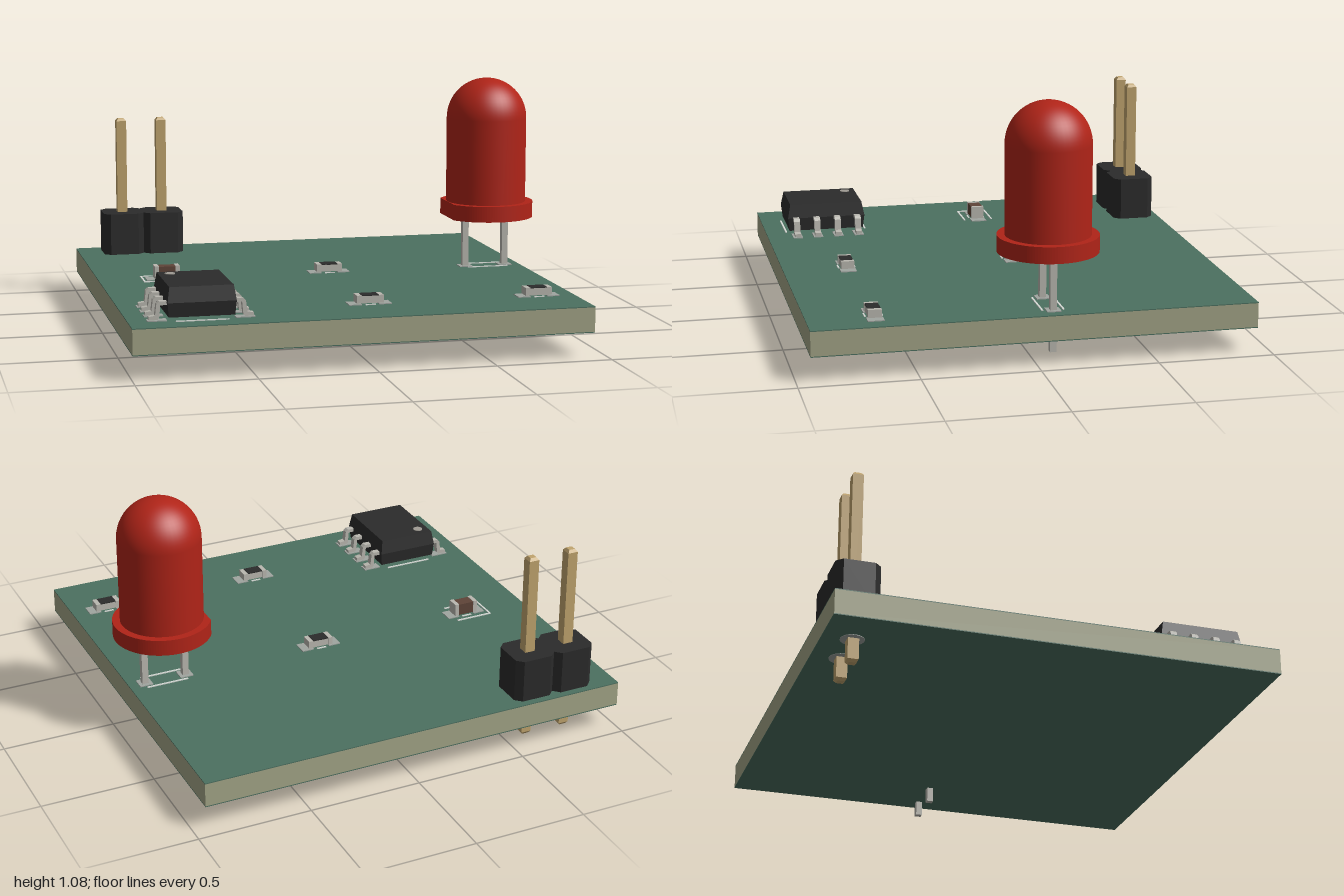
import * as THREE from 'three';

const TOP = 0.217, BOTTOM = 0.105;
const paint = (color) => new THREE.MeshStandardMaterial({ color });
const GREEN = paint(0x4c7060), FIBRE = paint(0xa3a587), BLACK = paint(0x2b2b2b), RED = paint(0xb02418);
const GOLD = paint(0xc0a46e), METAL = paint(0xbab8b0), PAD = paint(0xa0a5a0), SILK = paint(0xd5dad5);
const BROWN = paint(0x5f4438), DOT = paint(0xa09c94);
for (const m of [BLACK, GOLD]) m.flatShading = true;

function add(parent, name, geometry, material, x = 0, y = 0, z = 0) {
  const mesh = new THREE.Mesh(geometry, material);
  mesh.name = name;
  mesh.position.set(x, y, z);
  parent.add(mesh);
  return mesh;
}

function part(parent, name, x, z) {
  const g = new THREE.Group();
  g.name = name;
  g.position.set(x, 0, z);
  parent.add(g);
  return g;
}

// Box given by its bottom height and size
const box = (p, name, mat, x, y, z, w, h, d) =>
  add(p, name, new THREE.BoxGeometry(w, h, d), mat, x, y + h / 2, z);

// Thin printed line or copper pad lying on the board
const flat = (p, name, mat, x, z, w, d) => box(p, name, mat, x, TOP, z, w, 0.004, d);

// Four-sided block whose top and bottom are scaled by st and sb
function taper(w, h, d, st, sb) {
  const r = Math.SQRT1_2;
  return new THREE.CylinderGeometry(r * st, r * sb, h, 4).rotateY(Math.PI / 4).scale(w, 1, d);
}

function board(root) {
  const g = part(root, 'circuitBoard', -0.0275, -0.0025);
  const w = 1.945, d = 1.885, skin = 0.004;
  box(g, 'boardCore', FIBRE, 0, BOTTOM + skin, 0, w, TOP - BOTTOM - 2 * skin, d);
  box(g, 'topMask', GREEN, 0, TOP - skin, 0, w, skin, d);
  box(g, 'bottomMask', GREEN, 0, BOTTOM, 0, w, skin, d);
}

// Upright lamp: domed body, flange with one flat, two leads
function lamp(root) {
  const g = part(root, 'lamp', 0.782, -0.077);
  const r = 0.181, flangeR = 0.214, base = 0.449, step = 0.52, domeY = 0.902;
  add(g, 'lampBody', new THREE.CylinderGeometry(r, r, domeY - step, 48, 1, true), RED, 0, (domeY + step) / 2);
  add(g, 'lampDome', new THREE.SphereGeometry(r, 48, 16, 0, Math.PI * 2, 0, Math.PI / 2), RED, 0, domeY);
  const cut = Math.acos(-0.183 / flangeR);
  const outline = new THREE.Shape().absarc(0, 0, flangeR, -cut, cut, false);
  outline.closePath();
  const flange = new THREE.ExtrudeGeometry(outline, { depth: step - base, bevelEnabled: false, curveSegments: 48 });
  add(g, 'lampFlange', flange.rotateX(-Math.PI / 2), RED, 0, base);
  for (const x of [-0.097, 0.091]) {
    box(g, 'lampLead', METAL, x, 0.04, 0, 0.028, base - 0.04, 0.028);
    flat(g, 'lampPad', PAD, x, 0, 0.06, 0.06);
  }
  for (const z of [-0.045, 0.045]) flat(g, 'lampOutline', SILK, 0, z, 0.19, 0.008);
}

// Two-way pin header with chamfered housings and pins
function header(root) {
  const g = part(root, 'pinHeader', -0.7, -0.821);
  const a = 0.094, c = 0.028, tip = 0.012, pinTop = 0.856;
  const pts = [[-a, -a + c], [-a + c, -a], [a - c, -a], [a, -a + c], [a, a - c], [a - c, a], [-a + c, a], [-a, a - c]];
  const cell = new THREE.Shape(pts.map(([x, y]) => new THREE.Vector2(x, y)));
  for (const x of [-0.094, 0.094]) {
    const housing = new THREE.ExtrudeGeometry(cell, { depth: 0.41 - TOP, bevelEnabled: false }).rotateX(-Math.PI / 2);
    add(g, 'headerHousing', housing, BLACK, x, TOP);
    box(g, 'headerPin', GOLD, x, tip, 0, 0.046, pinTop - 2 * tip, 0.046);
    add(g, 'pinTipTop', taper(0.046, tip, 0.046, 0.6, 1), GOLD, x, pinTop - tip / 2);
    add(g, 'pinTipBottom', taper(0.046, tip, 0.046, 1, 0.6), GOLD, x, tip / 2);
    add(g, 'solderRing', new THREE.CylinderGeometry(0.05, 0.05, 0.003, 24), PAD, x, BOTTOM - 0.001);
  }
}

// Eight-lead chip with gull-wing legs
function chip(root) {
  const g = part(root, 'chip', -0.7, 0.662);
  add(g, 'chipLowerBody', taper(0.284, 0.06, 0.36, 1, 0.96), BLACK, 0, 0.263);
  add(g, 'chipUpperBody', taper(0.284, 0.064, 0.36, 0.93, 1), BLACK, 0, 0.325);
  add(g, 'pinOneMark', new THREE.CylinderGeometry(0.022, 0.022, 0.004, 24), DOT, -0.083, 0.358, -0.12);

  const profile = [[0.13, 0.298], [0.172, 0.298], [0.184, 0.287], [0.19, 0.24], [0.216, 0.236],
    [0.216, 0.222], [0.18, 0.222], [0.173, 0.23], [0.168, 0.282], [0.13, 0.282]];
  const leg = new THREE.ExtrudeGeometry(
    new THREE.Shape(profile.map(([x, y]) => new THREE.Vector2(x, y))), { depth: 0.028, bevelEnabled: false });
  leg.translate(0, 0, -0.014);
  for (const z of [-0.143, -0.048, 0.048, 0.143]) {
    for (const side of [-1, 1]) {
      add(g, 'chipLeg', leg, METAL, 0, 0, z).rotation.y = side < 0 ? Math.PI : 0;
      flat(g, 'chipPad', PAD, side * 0.182, z, 0.08, 0.044);
    }
  }
  for (const z of [-0.186, 0.186]) flat(g, 'chipOutline', SILK, 0, z, 0.22, 0.008);
}

// Small surface part: two pads, two metal ends and a middle body
function surfacePart(root, name, x, z, len, h, mid, material) {
  const g = part(root, name, x, z);
  const d = 0.058, y = TOP + 0.006, end = (len - mid) / 2;
  box(g, name + 'Body', material === BROWN ? BROWN : METAL, 0, y, 0, mid, h - 0.003, d - 0.004);
  if (material !== BROWN) box(g, name + 'Film', material, 0, y + h - 0.004, 0, mid, 0.005, d - 0.004);
  for (const side of [-1, 1]) {
    box(g, name + 'End', METAL, side * (mid + end) / 2, y, 0, end, h, d);
    flat(g, name + 'Pad', PAD, side * 0.065, 0, 0.054, 0.07);
    flat(g, name + 'Outline', SILK, 0, side * 0.036, 0.045, 0.007);
  }
  return g;
}

export function createModel() {
  const root = new THREE.Group();
  root.name = 'circuitBoardAssembly';
  board(root);
  lamp(root);
  header(root);
  chip(root);
  for (const [x, z] of [[0.04, -0.08], [0.04, 0.66], [0.782, 0.66]])
    surfacePart(root, 'resistor', x, z, 0.116, 0.034, 0.074, BLACK);
  const cap = surfacePart(root, 'capacitor', -0.7, -0.08, 0.112, 0.056, 0.074, BROWN);

  // Three-sided printed bracket round the capacitor
  flat(cap, 'capacitorBracket', SILK, -0.106, 0, 0.008, 0.136);
  for (const z of [-0.065, 0.065]) flat(cap, 'capacitorBracket', SILK, -0.022, z, 0.17, 0.008);
  return root;
}
